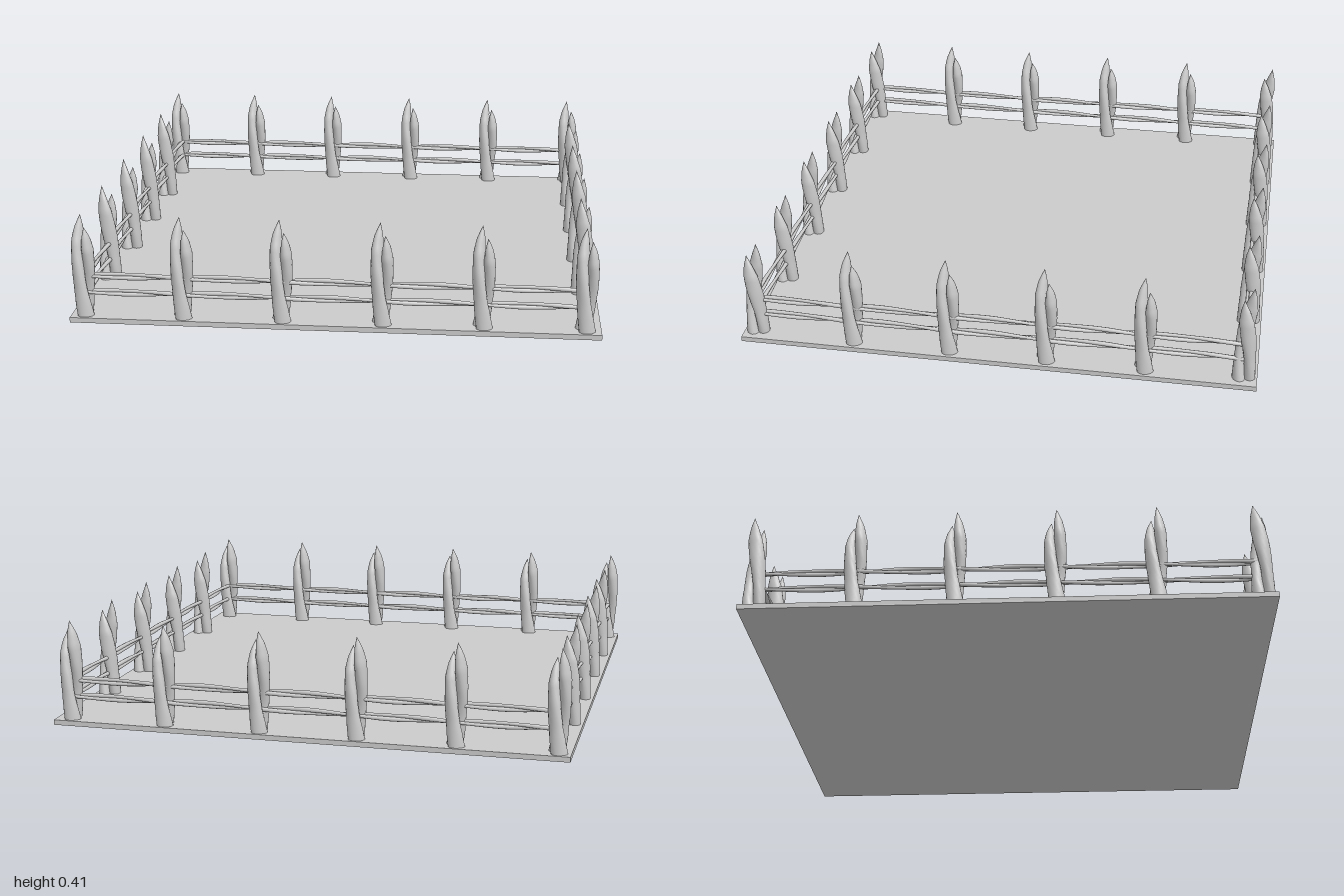
import * as THREE from 'three';
import { mergeVertices } from 'three/addons/utils/BufferGeometryUtils.js';

const material = new THREE.MeshStandardMaterial({ color: 0xcccccc, side: THREE.DoubleSide });

// Linear lookup in a list of [t, value] pairs
function lookup(profile, t) {
  for (let i = 1; i < profile.length; i++) {
    const [t0, v0] = profile[i - 1], [t1, v1] = profile[i];
    if (t <= t1) return v0 + (v1 - v0) * (t - t0) / (t1 - t0);
  }
  return profile[profile.length - 1][1];
}

// Open cylinder whose vertices are moved by a rule (t along the axis, unit circle x, z)
function shaped(sides, rings, rule) {
  let geo = new THREE.CylinderGeometry(1, 1, 1, sides, rings, true);
  geo.deleteAttribute('uv');
  geo.deleteAttribute('normal');
  geo = mergeVertices(geo);
  const pos = geo.attributes.position;
  for (let i = 0; i < pos.count; i++) {
    pos.setXYZ(i, ...rule(pos.getY(i) + 0.5, pos.getX(i), pos.getZ(i)));
  }
  geo.computeVertexNormals();
  return geo;
}

// Thickness of a post strand, ending in a point
const thickness = [[0, 0.025], [0.3, 0.021], [0.55, 0.023], [0.75, 0.022], [0.88, 0.014], [1, 0.0005]];

// One strand winding around the post axis
function postStrand(phase, top) {
  const bottom = 0.005;
  return shaped(14, 28, (t, x, z) => {
    const y = bottom + (top - bottom) * t;
    const a = phase - (y - 0.06) / 0.2 * Math.PI / 2;
    const r = lookup(thickness, t);
    const out = 0.02 + r * z;      // radial
    const along = r * 1.3 * x;     // tangential, slightly wider
    return [
      out * Math.sin(a) + along * Math.cos(a),
      y,
      out * Math.cos(a) - along * Math.sin(a),
    ];
  });
}

// One thin strand of a twisted rail, running along x
function railStrand(phase, length) {
  return shaped(8, 80, (t, x, z) => {
    const a = phase + t * Math.PI * 5;
    const r = 0.0075 + 0.0012 * Math.sin(t * 40 + phase);
    return [
      (0.5 - t) * length,
      0.007 * Math.sin(a) + r * x,
      0.007 * Math.cos(a) + r * z,
    ];
  });
}

function pair(name, geometries) {
  const group = new THREE.Group();
  group.name = name;
  geometries.forEach((geo, i) => {
    const mesh = new THREE.Mesh(geo, material);
    mesh.name = `${name}Strand${i + 1}`;
    group.add(mesh);
  });
  return group;
}

export function createModel() {
  const model = new THREE.Group();
  model.name = 'fencedPlot';

  // Ground slab
  const slab = new THREE.Mesh(new THREE.BoxGeometry(2, 0.02, 2), material);
  slab.name = 'groundSlab';
  slab.position.y = 0.01;
  model.add(slab);

  // Twisted posts: six on the front and back rows, four between them on each side
  const strands = [postStrand(0, 0.41), postStrand(Math.PI, 0.37)];
  const spots = [-0.95, -0.573, -0.196, 0.182, 0.56, 0.94];
  const addPost = (x, z, turn) => {
    const post = pair('post', strands);
    post.position.set(x, 0, z);
    post.rotation.y = turn;
    model.add(post);
  };
  for (const side of [-0.948, 0.948]) {
    spots.forEach((x) => addPost(x, side, 0));
    spots.slice(1, -1).forEach((z) => addPost(side * 0.997, z, Math.PI / 2));
  }

  // Two twisted rails along every side
  const ropes = [railStrand(0, 1.89), railStrand(Math.PI, 1.89)];
  for (const y of [0.107, 0.173]) {
    for (const side of [-0.945, 0.945]) {
      const rail = pair('rail', ropes);
      rail.position.set(0, y, side);
      model.add(rail);
      const sideRail = pair('sideRail', ropes);
      sideRail.position.set(side, y, 0);
      sideRail.rotation.y = Math.PI / 2;
      model.add(sideRail);
    }
  }
  return model;
}
